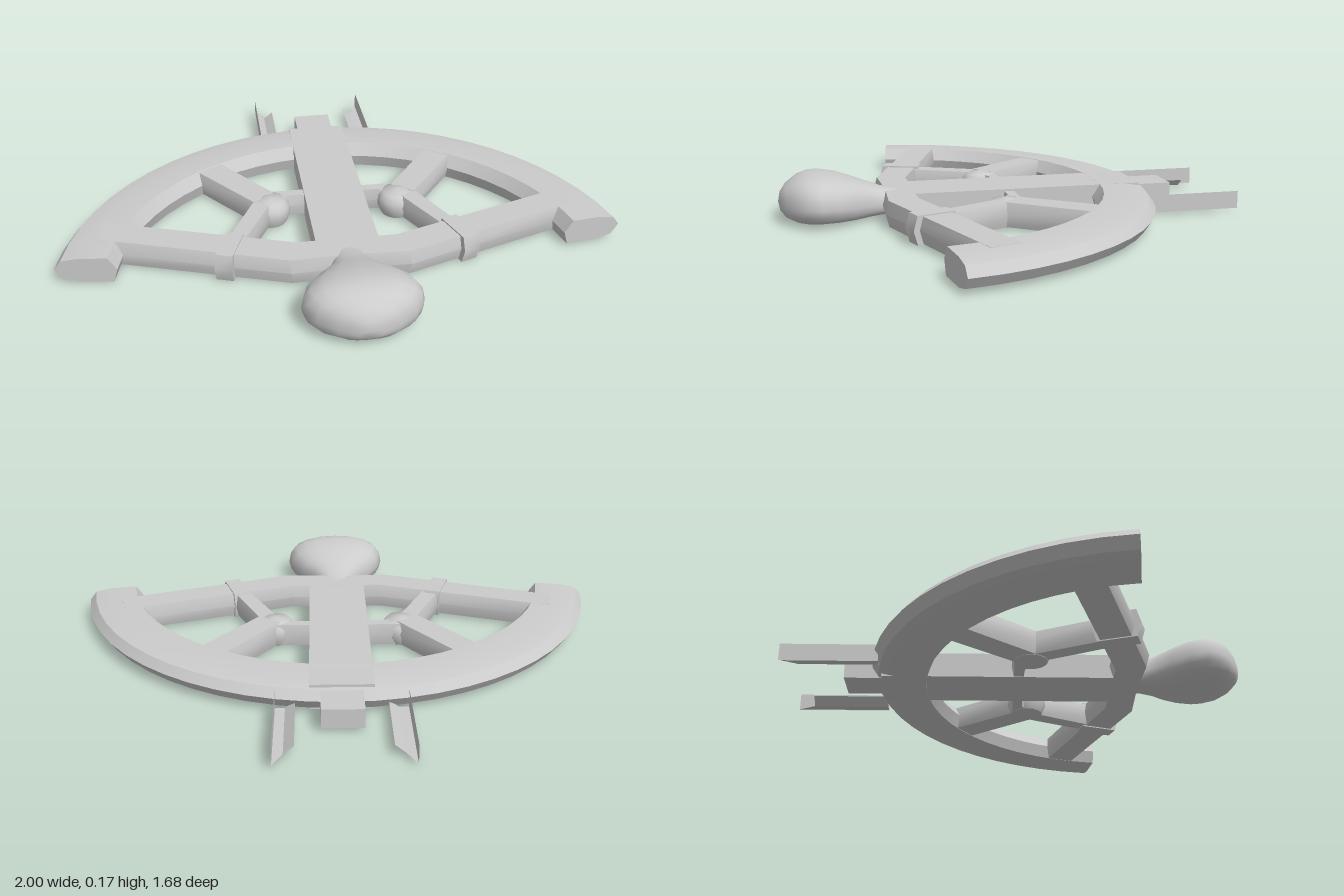
import * as THREE from 'three';
import { toCreasedNormals } from 'three/addons/utils/BufferGeometryUtils.js';

const grey = new THREE.MeshStandardMaterial({ color: 0xcccccc });
const greyThin = new THREE.MeshStandardMaterial({ color: 0xcccccc, side: THREE.DoubleSide });

function add(parent, name, geometry, material = grey) {
  const mesh = new THREE.Mesh(geometry, material);
  mesh.name = name;
  parent.add(mesh);
  return mesh;
}

// Skin a row of equal-sized point loops and cap both ends
function loft(loops, crease = 0.6) {
  const n = loops[0].length, pos = [], index = [];
  loops.forEach((loop) => loop.forEach((p) => pos.push(...p)));
  for (let i = 0; i < loops.length - 1; i++) {
    for (let j = 0; j < n; j++) {
      const a = i * n + j, b = i * n + (j + 1) % n;
      index.push(a, b, a + n, b, b + n, a + n);
    }
  }
  const last = (loops.length - 1) * n;
  for (let j = 1; j < n - 1; j++) {
    index.push(0, j + 1, j, last, last + j, last + j + 1);
  }
  const geo = new THREE.BufferGeometry();
  geo.setAttribute('position', new THREE.Float32BufferAttribute(pos, 3));
  geo.setIndex(index);
  return toCreasedNormals(geo, crease);
}

// Six-sided bar along [x, z, halfWidth] stations, widest at mid height
function bar(stations, y0, y1, bulge) {
  const mid = (y0 + y1) / 2;
  return loft(stations.map(([x, z, w], i) => {
    const p = stations[Math.max(i - 1, 0)];
    const q = stations[Math.min(i + 1, stations.length - 1)];
    const len = Math.hypot(q[0] - p[0], q[1] - p[1]);
    const sx = (q[1] - p[1]) / len, sz = -(q[0] - p[0]) / len;
    return [[w, y0], [w + bulge, mid], [w, y1], [-w, y1], [-w - bulge, mid], [-w, y0]]
      .map(([s, y]) => [x + sx * s, y, z + sz * s]);
  }));
}

function arcRim() {
  const section = [[0.825, 0.1], [0.795, 0.055], [0.81, 0.006], [0.93, 0.006],
    [0.985, 0.018], [1.01, 0.055], [0.985, 0.087], [0.93, 0.098]];
  const loops = [], steps = 26, start = 0.143;
  for (let i = 0; i <= steps; i++) {
    const t = Math.PI - start - (Math.PI - 2 * start) * i / steps;
    loops.push(section.map(([r, y]) => [r * Math.cos(t), y, 0.48 - r * Math.sin(t)]));
  }
  return loft(loops, 0.5);
}

// Rounded grip: [z, halfWidth, bottom, top] stations
function gripShape() {
  const stations = [[0.41, 0.07, 0.012, 0.1], [0.47, 0.07, 0.008, 0.11], [0.52, 0.095, 0.004, 0.128],
    [0.57, 0.14, 0.001, 0.145], [0.63, 0.182, 0, 0.164], [0.69, 0.2, 0, 0.174],
    [0.73, 0.19, 0, 0.174], [0.77, 0.16, 0.004, 0.162], [0.81, 0.1, 0.018, 0.135],
    [0.832, 0.045, 0.04, 0.105], [0.838, 0.004, 0.068, 0.075]];
  const n = 20;
  return loft(stations.map(([z, w, b, t]) => {
    const mid = b + (t - b) * 0.42, loop = [];
    for (let j = 0; j < n; j++) {
      const a = j / n * Math.PI * 2, c = Math.cos(a), s = Math.sin(a);
      const soft = (v, e) => Math.sign(v) * Math.abs(v) ** e;
      loop.push([w * soft(c, 0.8), mid + soft(s, 0.75) * (s > 0 ? t - mid : mid - b), z]);
    }
    return loop;
  }), 1);
}

// Thin angled sheet strip from quads of [x, y, z] corners
function sheet(quads) {
  const pos = [];
  quads.forEach(([a, b, c, d]) => pos.push(...a, ...b, ...c, ...a, ...c, ...d));
  const geo = new THREE.BufferGeometry();
  geo.setAttribute('position', new THREE.Float32BufferAttribute(pos, 3));
  geo.computeVertexNormals();
  return geo;
}

export function createModel() {
  const model = new THREE.Group();
  model.name = 'arcFrame';

  add(model, 'arcRim', arcRim());

  // Spine with its rear tongue
  add(model, 'centreBar', new THREE.BoxGeometry(0.22, 0.093, 0.92)).position.set(0, 0.053, -0.03);
  add(model, 'rearTongue', new THREE.BoxGeometry(0.144, 0.07, 0.2)).position.set(0, 0.05, -0.53);

  add(model, 'frontBeam', bar([[-0.84, 0.19, 0.053], [-0.19, 0.41, 0.055], [0, 0.405, 0.05],
    [0.19, 0.41, 0.055], [0.84, 0.19, 0.053]], 0.007, 0.1, 0.013));
  add(model, 'grip', gripShape());

  for (const side of [-1, 1]) {
    const half = new THREE.Group();
    half.name = side > 0 ? 'leftBracing' : 'rightBracing';
    model.add(half);
    const strut = (name, stations, y0, y1, bulge) => {
      // Mirrored stations are reversed only in x, so the skin keeps facing out
      add(half, name, bar(stations.map(([x, z, w]) => [x * side, z, w]), y0, y1, bulge));
    };
    strut('upperStrut', [[0.48, -0.25, 0.052], [0.26, 0.04, 0.048]], 0.008, 0.097, 0.012);
    strut('lowerStrut', [[0.26, 0.05, 0.032], [0.4, 0.34, 0.028]], 0.008, 0.095, 0.012);
    strut('crossArm', [[0.08, 0.01, 0.018], [0.17, 0.012, 0.018], [0.25, 0.035, 0.045]], 0.008, 0.092, 0.008);
    strut('beamCollar', [[0.376, 0.352, 0.07], [0.434, 0.332, 0.07]], 0.003, 0.105, 0.015);

    // Domed hub where the struts meet
    const profile = [[0, 0.006], [0.06, 0.006], [0.075, 0.04], [0.072, 0.07], [0.055, 0.093], [0, 0.102]]
      .map(([r, y]) => new THREE.Vector2(r, y));
    add(half, 'hub', toCreasedNormals(new THREE.LatheGeometry(profile, 16), 0.8))
      .position.set(0.24 * side, 0, 0.05);

    // Angled sheet rail reaching back past the rim
    const x0 = 0.226 * side, x1 = 0.192 * side, x2 = 0.157 * side;
    add(half, 'rearRail', sheet([
      [[x0, 0.01, -0.84], [x0, 0.075, -0.84], [x0, 0.075, -0.49], [x0, 0.01, -0.49]],
      [[x0, 0.012, -0.84], [x1, 0.012, -0.775], [x1, 0.012, -0.49], [x0, 0.012, -0.49]],
      [[x1, 0.012, -0.775], [x2, 0.04, -0.775], [x2, 0.04, -0.49], [x1, 0.012, -0.49]],
    ]), greyThin);
  }
  return model;
}
